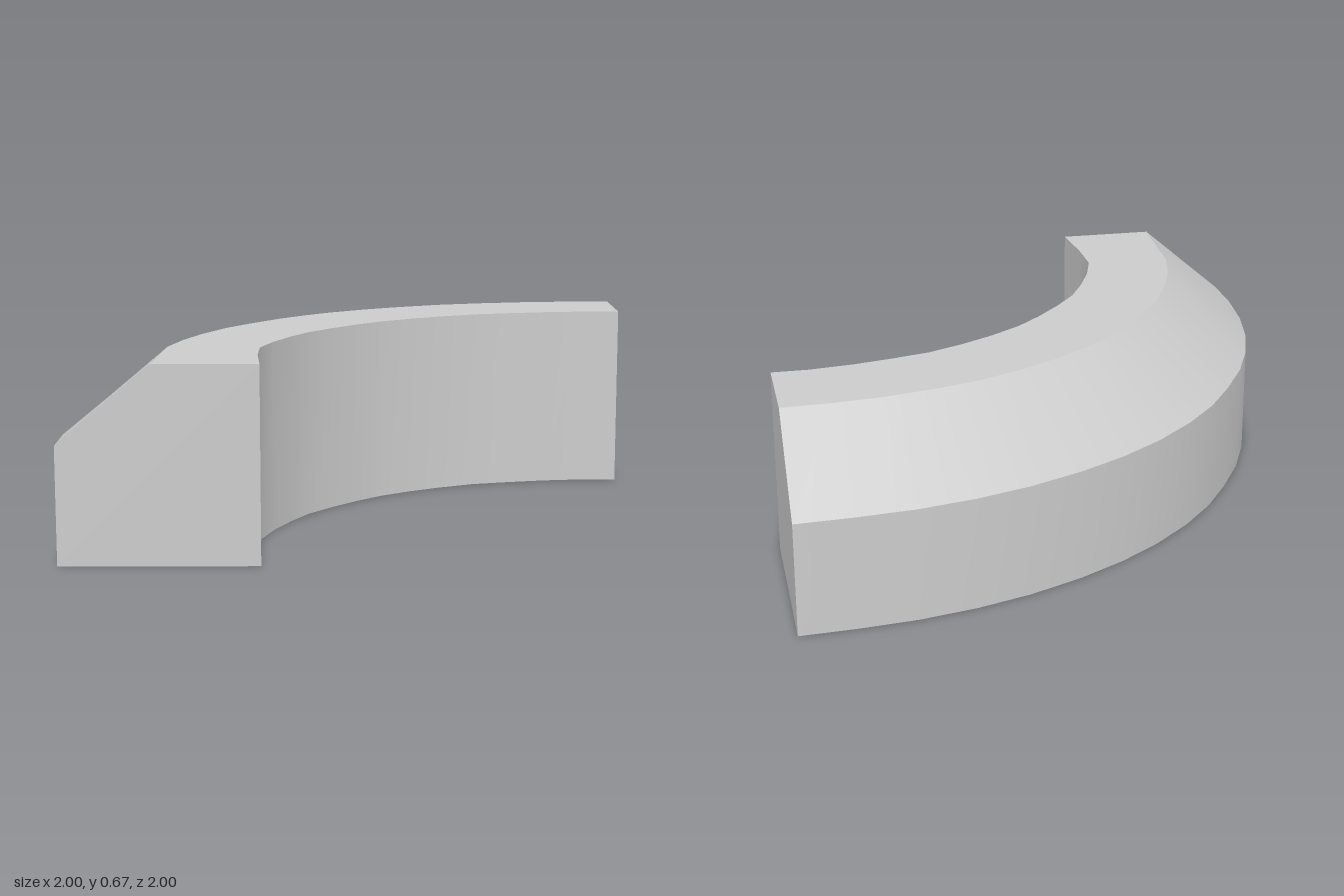
import * as THREE from 'three';

// Plan curves [x, z] from the front end to the side end
const OUTER = [[-1, 1], [-1, 0.8], [-0.98, 0.59], [-0.94, 0.39], [-0.88, 0.2], [-0.8, 0.02], [-0.7, -0.15],
  [-0.59, -0.31], [-0.465, -0.45], [-0.32, -0.58], [-0.165, -0.69], [0.005, -0.785], [0.2, -0.87],
  [0.395, -0.93], [0.595, -0.97], [0.8, -0.99], [1, -1]];
const INNER = [[-0.335, 1], [-0.35, 0.8], [-0.35, 0.63], [-0.31, 0.495], [-0.255, 0.365], [-0.195, 0.25],
  [-0.11, 0.14], [-0.02, 0.04], [0.028, -0.006], [0.075, -0.05], [0.19, -0.13], [0.305, -0.195],
  [0.435, -0.255], [0.57, -0.29], [0.71, -0.32], [0.87, -0.34], [1, -0.34]];
const TOP = 0.667, SHOULDER = 0.4;

// Five-sided cross-section at one station
function section(i) {
  const [ox, oz] = OUTER[i], [ix, iz] = INNER[i];
  const t = i === 0 ? 0.47 : 0.5;
  return [
    [ox, 0, oz], [ox, SHOULDER, oz],
    [ox + (ix - ox) * t, TOP, oz + (iz - oz) * t],
    [ix, TOP, iz], [ix, 0, iz],
  ];
}

function buildGeometry(points, index) {
  const geometry = new THREE.BufferGeometry();
  geometry.setAttribute('position', new THREE.Float32BufferAttribute(points.flat(), 3));
  geometry.setIndex(index);
  geometry.computeVertexNormals();
  return geometry;
}

export function createModel() {
  const group = new THREE.Group();
  group.name = 'curvedCorner';
  const material = new THREE.MeshStandardMaterial({ color: 0xcccccc });
  const add = (name, geometry) => {
    const mesh = new THREE.Mesh(geometry, material);
    mesh.name = name;
    group.add(mesh);
  };
  const sections = OUTER.map((_, i) => section(i));

  // One smooth strip per side, with sharp edges between the sides
  ['outerWall', 'slopedTop', 'flatTop', 'innerWall', 'underside'].forEach((name, k) => {
    const points = [], index = [];
    sections.forEach((s, i) => {
      points.push(s[k], s[(k + 1) % 5]);
      if (i === 0) return;
      const a = 2 * (i - 1);
      index.push(a, a + 1, a + 2, a + 1, a + 3, a + 2);
    });
    add(name, buildGeometry(points, index));
  });

  // Flat ends
  const fan = [0, 1, 2, 0, 2, 3, 0, 3, 4];
  add('frontEnd', buildGeometry(sections[0], [...fan].reverse()));
  add('sideEnd', buildGeometry(sections[sections.length - 1], fan));
  return group;
}
